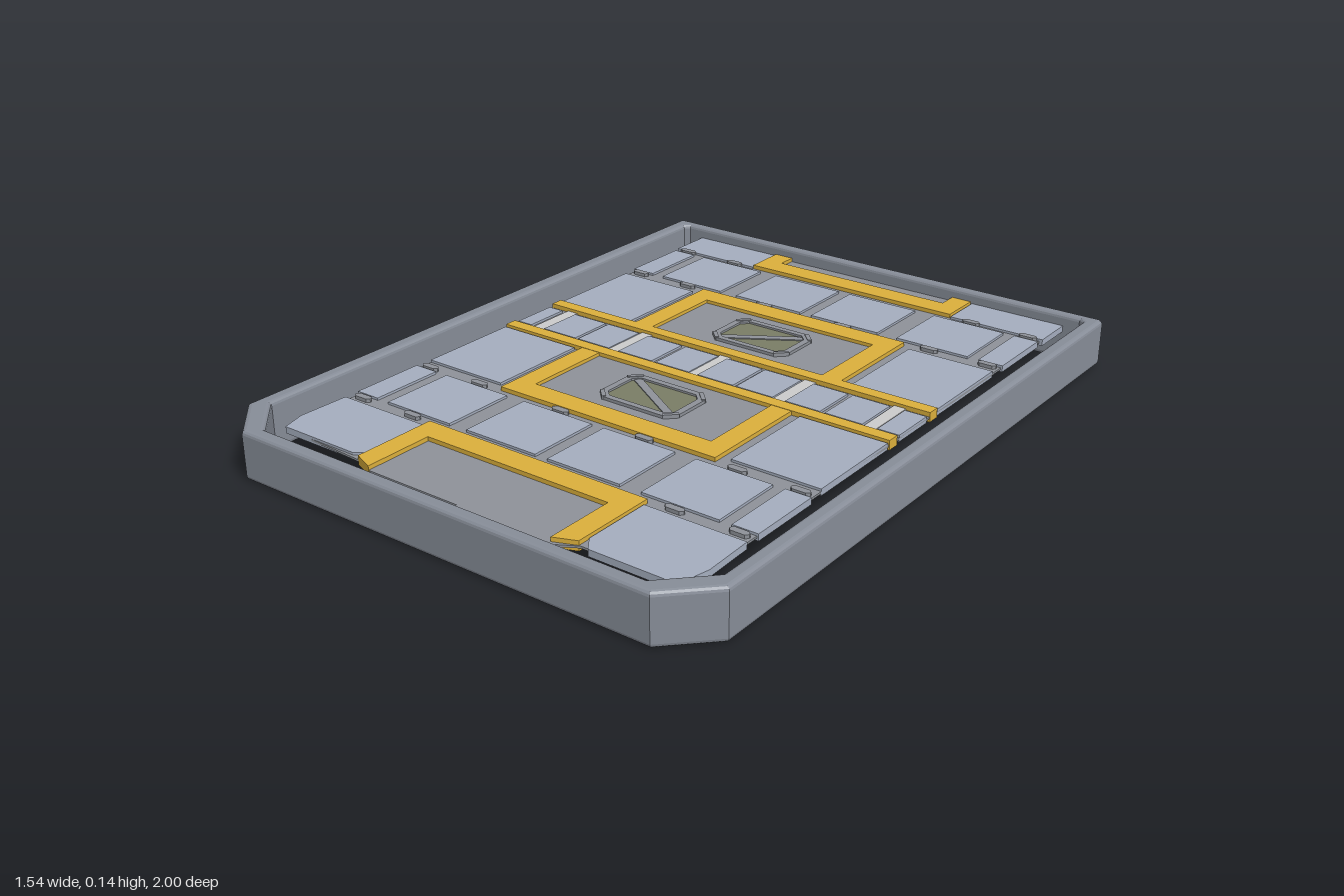
import * as THREE from 'three';

const mat = (color) => new THREE.MeshStandardMaterial({ color, side: THREE.DoubleSide });

// Outlines are given as [x, z] corners seen from above
const outline = (pts, Type = THREE.Shape) => new Type(pts.map(([x, z]) => new THREE.Vector2(x, z)));
const rect = (x0, x1, z0, z1) => [[x0, z0], [x1, z0], [x1, z1], [x0, z1]];
const chamfered = (cx, cz, w, d, c) => [
  [cx - w + c, cz - d], [cx + w - c, cz - d], [cx + w, cz - d + c], [cx + w, cz + d - c],
  [cx + w - c, cz + d], [cx - w + c, cz + d], [cx - w, cz + d - c], [cx - w, cz - d + c]];

export function createModel() {
  const model = new THREE.Group();
  const colors = {
    frame: mat(0x878d98), base: mat(0x8e9299), tile: mat(0xa5aebf),
    trim: mat(0xdcb03c), glass: mat(0x7a7d66), divider: mat(0xcccccc),
  };

  // Flat piece between heights y0 and y1, optionally with a hole and rounded edges
  function slab(name, material, pts, y0, y1, hole = null, bevel = 0) {
    const shape = outline(pts);
    if (hole) shape.holes.push(outline(hole, THREE.Path));
    const geo = new THREE.ExtrudeGeometry(shape, {
      depth: y1 - y0 - 2 * bevel, bevelEnabled: bevel > 0, bevelSize: bevel,
      bevelThickness: bevel, bevelOffset: -bevel, bevelSegments: 3,
    });
    geo.rotateX(Math.PI / 2).translate(0, y1 - bevel, 0);
    const mesh = new THREE.Mesh(geo, material);
    mesh.name = name;
    model.add(mesh);
    return mesh;
  }

  // Outer rim with two cut front corners
  slab('rim', colors.frame,
    [[-0.76, -1], [0.76, -1], [0.77, -0.99], [0.77, 0.88], [0.65, 1], [-0.65, 1], [-0.77, 0.88], [-0.77, -0.99]],
    0, 0.14,
    [[-0.71, -0.965], [0.71, -0.965], [0.725, -0.95], [0.725, 0.84], [0.61, 0.957], [-0.61, 0.957],
      [-0.725, 0.84], [-0.725, -0.95]], 0.012);

  // Deck sheet
  slab('deck', colors.base,
    [[-0.65, -0.98], [0.65, -0.98], [0.65, 0.8], [0.635, 0.87], [0.36, 0.88], [0.29, 0.92], [0, 0.92],
      [0, 0.905], [-0.29, 0.905], [-0.36, 0.88], [-0.635, 0.865], [-0.65, 0.8]], 0.092, 0.098);

  // The deck is mirrored about the middle of the centre band
  const mirrorZ = (z) => -0.205 - z;
  for (const back of [true, false]) {
    const m = (pts) => (back ? pts : pts.map(([x, z]) => [x, mirrorZ(z)]));
    const cz = back ? -0.36 : 0.155;

    // Row of square tiles with narrow end tiles
    for (const [x0, x1] of [[-0.655, -0.58], [-0.54, -0.315], [-0.255, -0.02], [0.02, 0.25], [0.315, 0.545], [0.58, 0.655]]) {
      slab('rowTile', colors.tile, m(rect(x0, x1, -0.81, -0.59)), 0.086, 0.105);
    }
    for (const s of [-1, 1]) {
      // Large side tiles
      slab('sideTile', colors.tile, m(rect(s * 0.385, s * 0.65, -0.54, -0.23)), 0.086, 0.105);
      slab('endTile', colors.tile, back ? rect(s * 0.36, s * 0.66, -0.98, -0.83)
        : [[s * 0.36, 0.65], [s * 0.655, 0.65], [s * 0.66, 0.8], [s * 0.64, s > 0 ? 0.89 : 0.87],
          [s * 0.39, s > 0 ? 0.89 : 0.87], [s * 0.36, 0.85]], 0.086, 0.105);
      // Small clips along the row seams
      for (const x of [0.14, 0.43, 0.615]) {
        for (const z of [-0.828, -0.575]) {
          if (x < 0.3 && z < -0.6) continue;
          slab('clip', colors.base, m(chamfered(s * x, z, 0.028, 0.01, 0.008)), 0.09, 0.108);
        }
      }
    }

    // Yellow bracket round the centre plate
    slab('centreBracket', colors.trim, m([[-0.36, -0.2], [-0.36, -0.565], [0.355, -0.565], [0.355, -0.2],
      [0.292, -0.2], [0.292, -0.495], [-0.297, -0.495], [-0.297, -0.2]]), 0.083, 0.11);
    slab('centrePlate', colors.base, m(rect(-0.297, 0.292, -0.495, -0.22)), 0.09, 0.1);
    slab('crossStrip', colors.trim, m(rect(-0.652, 0.652, -0.225, -0.187)), 0.083, 0.111);

    // Yellow bracket at the end of the deck
    const end = back ? -0.98 : -1.085;
    const tip = back ? -0.98 : -1.11;
    slab('endBracket', colors.trim, m([[-0.36, end], [-0.36, -0.835], [0.355, -0.835], [0.355, end],
      [0.292, tip], [0.292, -0.905], [-0.297, -0.905], [-0.297, tip]]), 0.083, 0.11);

    // Window with rim and diagonal bar
    slab('windowRim', colors.base, chamfered(0, cz, 0.132, 0.088, 0.03), 0.084, 0.109,
      chamfered(0, cz, 0.112, 0.07, 0.02));
    slab('windowGlass', colors.glass, chamfered(0, cz, 0.112, 0.07, 0.02), 0.087, 0.103);
    const k = back ? -1 : 1;
    slab('windowBar', colors.base, [[-0.105, cz - k * 0.068], [-0.085, cz - k * 0.068], [0.105, cz + k * 0.05],
      [0.105, cz + k * 0.065], [0.085, cz + k * 0.065], [-0.105, cz - k * 0.053]], 0.084, 0.106);
    // Notched rim corners
    for (const sx of [-1, 1]) for (const sz of [-1, 1]) {
      const bar = new THREE.Mesh(new THREE.BoxGeometry(0.045, 0.029, 0.012), colors.base);
      bar.position.set(sx * 0.114, 0.0965, cz + sz * 0.07);
      bar.rotation.y = sx * sz * Math.PI / 4;
      bar.name = 'windowCorner';
      model.add(bar);
    }
  }

  // Centre band: small tiles split by pale dividers
  for (const [x0, x1] of [[-0.65, -0.6], [-0.55, -0.43], [-0.42, -0.305], [-0.27, -0.15], [-0.135, -0.02],
    [0.01, 0.13], [0.14, 0.26], [0.3, 0.41], [0.425, 0.54], [0.585, 0.65]]) {
    slab('bandTile', colors.tile, rect(x0, x1, -0.172, -0.032), 0.086, 0.105);
  }
  for (const x of [-0.572, -0.287, -0.005, 0.28, 0.562]) {
    slab('bandDivider', colors.divider, rect(x - 0.018, x + 0.018, -0.188, -0.016), 0.088, 0.102);
  }
  return model;
}
